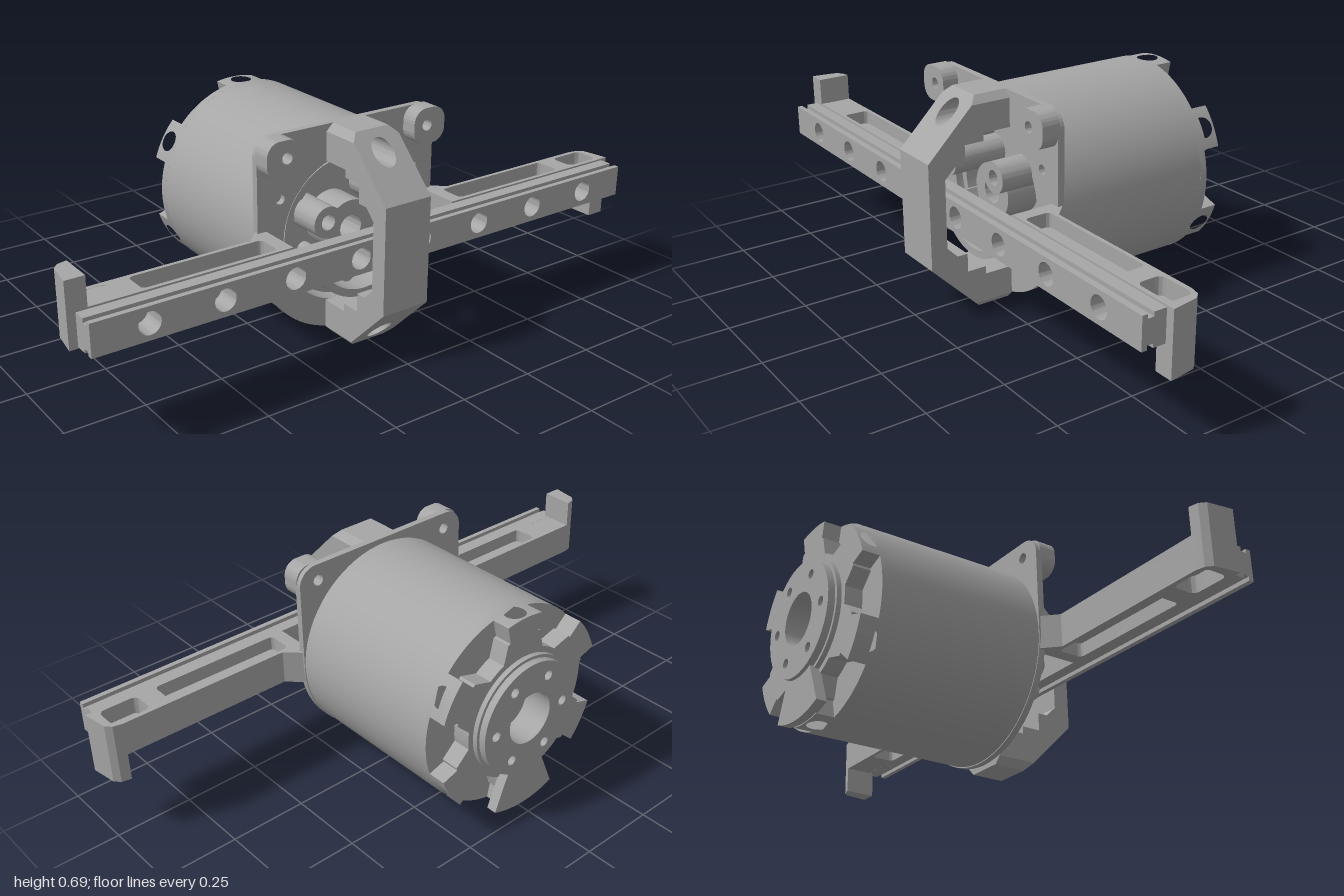
import * as THREE from 'three';
import { toCreasedNormals } from 'three/addons/utils/BufferGeometryUtils.js';

const R = 0.327, AXIS = 0.345;

export function createModel() {
  const root = new THREE.Group();
  root.name = 'motorWithRail';
  const model = new THREE.Group();        // local origin sits on the motor axis
  model.name = 'assembly';
  model.position.y = AXIS;
  root.add(model);
  const grey = new THREE.MeshStandardMaterial({ color: 0xa6a6a6 });
  grey.name = 'machinedGrey';

  const add = (geo, name, parent = model, crease = 0.5) => {
    const m = new THREE.Mesh(crease ? toCreasedNormals(geo, crease) : geo, grey);
    m.name = name;
    parent.add(m);
    return m;
  };
  const poly = (pts) => new THREE.Shape(pts.map((p) => new THREE.Vector2(...p)));
  const circle = (u, v, r) => new THREE.Path().absarc(u, v, r, 0, Math.PI * 2, true);
  const extrude = (shape, depth) =>
    new THREE.ExtrudeGeometry(shape, { depth, bevelEnabled: false, curveSegments: 24 });
  // Cross-section (u = -z, v = y) pushed along x
  const alongX = (shape, x0, x1) => extrude(shape, x1 - x0).rotateY(Math.PI / 2).translate(x0, 0, 0);
  // Cross-section (u = x, v = -z) pushed along y
  const alongY = (shape, y0, y1) => extrude(shape, y1 - y0).rotateX(-Math.PI / 2).translate(0, y0, 0);
  const disc = (u, v, r, hole = 0) => {
    const s = new THREE.Shape().absarc(u, v, r, 0, Math.PI * 2, false);
    if (hole) s.holes.push(circle(u, v, hole));
    return s;
  };
  const sector = (r0, r1, a0, a1) => {
    const s = new THREE.Shape();
    s.absarc(0, 0, r1, a0, a1, false);
    s.absarc(0, 0, r0, a1, a0, true);
    return s;
  };
  const rounded = (cls, x0, y0, x1, y1, r) => {
    const s = new cls();
    s.moveTo(x0 + r, y0);
    s.absarc(x1 - r, y0 + r, r, -Math.PI / 2, 0, false);
    s.absarc(x1 - r, y1 - r, r, 0, Math.PI / 2, false);
    s.absarc(x0 + r, y1 - r, r, Math.PI / 2, Math.PI, false);
    s.absarc(x0 + r, y0 + r, r, Math.PI, Math.PI * 1.5, false);
    return s;
  };
  const rad = THREE.MathUtils.degToRad;

  // Motor can: outer wall with a recessed front face
  const can = new THREE.LatheGeometry([
    [0, -0.386], [0.27, -0.386], [0.27, -0.36], [R, -0.36], [R, 0.176], [0.24, 0.176],
    [0.24, 0.1], [0, 0.1],
  ].map((p) => new THREE.Vector2(...p)), 72);
  add(can.rotateZ(-Math.PI / 2), 'motorCan');

  // Rear rim: six bent wall pieces, each with a lug and a radial hole
  const arc = (d) => rad(d) * R;
  const outline = [];
  for (let d = -30; d <= 30; d += 3) outline.push([arc(d), -0.36]);
  for (let d = 30; d >= 12; d -= 3) outline.push([arc(d), -0.386]);
  for (let d = 12; d >= -12; d -= 3) outline.push([arc(d), -0.445]);
  for (let d = -12; d >= -30; d -= 3) outline.push([arc(d), -0.386]);
  const wall = poly(outline);
  wall.holes.push(circle(0, -0.403, 0.034));
  const rim = extrude(wall, 0.06);
  const P = rim.attributes.position, N = rim.attributes.normal;
  for (let i = 0; i < P.count; i++) {
    const t = P.getX(i) / R, r = R - 0.06 + P.getZ(i), c = Math.cos(t), s = Math.sin(t);
    const nu = N.getX(i), nr = N.getZ(i);
    // u runs along -z, so that the bend keeps the winding
    P.setXYZ(i, P.getY(i), r * c, r * s);
    N.setXYZ(i, N.getY(i), nr * c - nu * s, nr * s + nu * c);
  }
  for (let k = 0; k < 6; k++) add(rim, 'rearRimLug', model, 0).rotation.x = k * Math.PI / 3;

  // Rear cap: six spokes with concave gaps between them
  const cap = new THREE.Shape();
  for (let k = 0; k < 6; k++) {
    const a = rad(90 + k * 60);
    cap.absarc(0, 0, 0.27, a - rad(14), a + rad(14), false);
    cap.absarc(0, 0, 0.215, a + rad(22), a + rad(38), false);
  }
  cap.holes.push(circle(0, 0, 0.085));
  add(alongX(cap, -0.445, -0.38), 'rearCap');
  add(alongX(sector(0.19, 0.324, rad(248), rad(292)), -0.474, -0.44), 'cableLug');

  // Rear hub with a bolt circle
  add(alongX(disc(0, 0, 0.197, 0.085), -0.461, -0.44), 'hubStep');
  const hub = disc(0, 0, 0.187, 0.085);
  for (let k = 0; k < 6; k++) {
    hub.holes.push(circle(0.14 * Math.cos(k * Math.PI / 3), 0.14 * Math.sin(k * Math.PI / 3), 0.016));
  }
  add(alongX(hub, -0.484, -0.461), 'rearHub');

  // Front flange: square-shouldered above, round below
  const flange = new THREE.Shape();
  flange.absarc(0, 0, 0.33, Math.PI, Math.PI * 2, false);
  flange.absarc(0.27, 0.285, 0.06, 0, Math.PI / 2, false);
  flange.absarc(-0.27, 0.285, 0.06, Math.PI / 2, Math.PI, false);
  flange.holes.push(circle(0, 0, 0.24));
  for (const s of [-1, 1]) {
    flange.holes.push(circle(s * 0.26, 0.29, 0.018), circle(s * 0.25, 0.145, 0.016),
      circle(s * 0.25, -0.145, 0.016));
  }
  add(alongX(flange, 0.174, 0.196), 'frontFlange');
  for (const s of [-1, 1]) {
    const ear = rounded(THREE.Shape, s * 0.27 - 0.06, 0.23, s * 0.27 + 0.06, 0.345, 0.045);
    ear.holes.push(circle(s * 0.26, 0.29, 0.018));
    add(alongX(ear, 0.19, 0.25), 'mountingEar');
  }

  // Front bearing wall, bosses and screws inside the flange
  add(alongX(sector(0.175, 0.2, rad(198), rad(342)), 0.1, 0.285), 'bearingWall');
  add(alongX(disc(0, 0, 0.225, 0.2), 0.1, 0.18), 'bearingRing');
  add(alongX(disc(0, 0, 0.09, 0.04), 0.1, 0.21), 'frontHub');
  for (const [u, v] of [[-0.14, 0.075], [0.125, 0.1]]) {
    add(alongX(disc(u, v, 0.05, 0.024), 0.1, 0.285), 'boss');
  }
  for (const s of [-1, 1]) add(alongX(disc(s * 0.1, -0.085, 0.024), 0.1, 0.33), 'screw');

  // Linear rail: three drilled layers forming a grooved profile
  for (const [x0, x1, h, name] of [[0.336, 0.376, 0.05, 'railBase'],
    [0.376, 0.396, 0.037, 'railNeck'], [0.396, 0.413, 0.05, 'railHead']]) {
    const s = poly([[-0.975, -h], [0.975, -h], [0.975, h], [-0.975, h]]);
    for (let k = 0; k < 8; k++) s.holes.push(circle(-0.805 + k * 0.23, 0, 0.034));
    add(alongX(s, x0, x1), name);
  }

  // Each half holds one arm and one end of the yoke; the second is turned about the axis
  for (const turn of [0, Math.PI]) {
    const half = new THREE.Group();
    half.name = turn ? 'lowerHalf' : 'upperHalf';
    half.rotation.x = turn;
    model.add(half);

    // Rail support arm with pockets, web and end hook
    const arm = poly([[0.175, -0.325], [0.225, -0.375], [0.225, -0.94], [0.232, -0.97],
      [0.25, -0.987], [0.335, -1], [0.335, -0.3], [0.175, -0.3]]);
    arm.holes.push(rounded(THREE.Path, 0.238, -0.775, 0.323, -0.345, 0.015),
      rounded(THREE.Path, 0.24, -0.965, 0.321, -0.84, 0.02));
    add(alongY(arm, -0.055, 0.055), 'railArm', half);
    const box = (x, y, z, w, h, d, name) =>
      add(new THREE.BoxGeometry(w, h, d).translate(x, y, z), name, half);
    box(0.28, 0, 0.56, 0.1, 0.02, 0.45, 'armWeb');
    box(0.28, 0.027, 0.9, 0.09, 0.055, 0.14, 'armEndFill');
    const hook = poly([[0.225, -0.94], [0.232, -0.97], [0.25, -0.987], [0.335, -1], [0.335, -0.94]]);
    add(alongY(hook, 0.054, 0.145), 'armHook', half);

    // Yoke foot: drilled block whose front face is sloped at 45 degrees
    const foot = poly([[-0.083, 0.23], [0.083, 0.23], [0.083, 0.322], [0.06, 0.345],
      [-0.06, 0.345], [-0.083, 0.322]]);
    foot.holes.push(circle(0, 0.288, 0.036));
    const back = turn ? 0.195 : 0.174;
    const geo = alongX(foot, back, 0.4), p = geo.attributes.position;
    for (let i = 0; i < p.count; i++) if (p.getX(i) > 0.3) p.setX(i, 0.65 - p.getY(i));
    geo.computeVertexNormals();
    add(geo, 'yokeFoot', half);

    // Half of the yoke spine
    const spine = poly([[0.29, 0.205], [0.355, 0.205], [0.355, 0.145], [0.39, 0.145],
      [0.425, 0.11], [0.425, 0], [0.48, 0], [0.48, 0.17], [0.42, 0.23], [0.29, 0.23]]);
    add(extrude(spine, 0.166).translate(0, 0, -0.083), 'yokeSpine', half);
  }
  return root;
}
